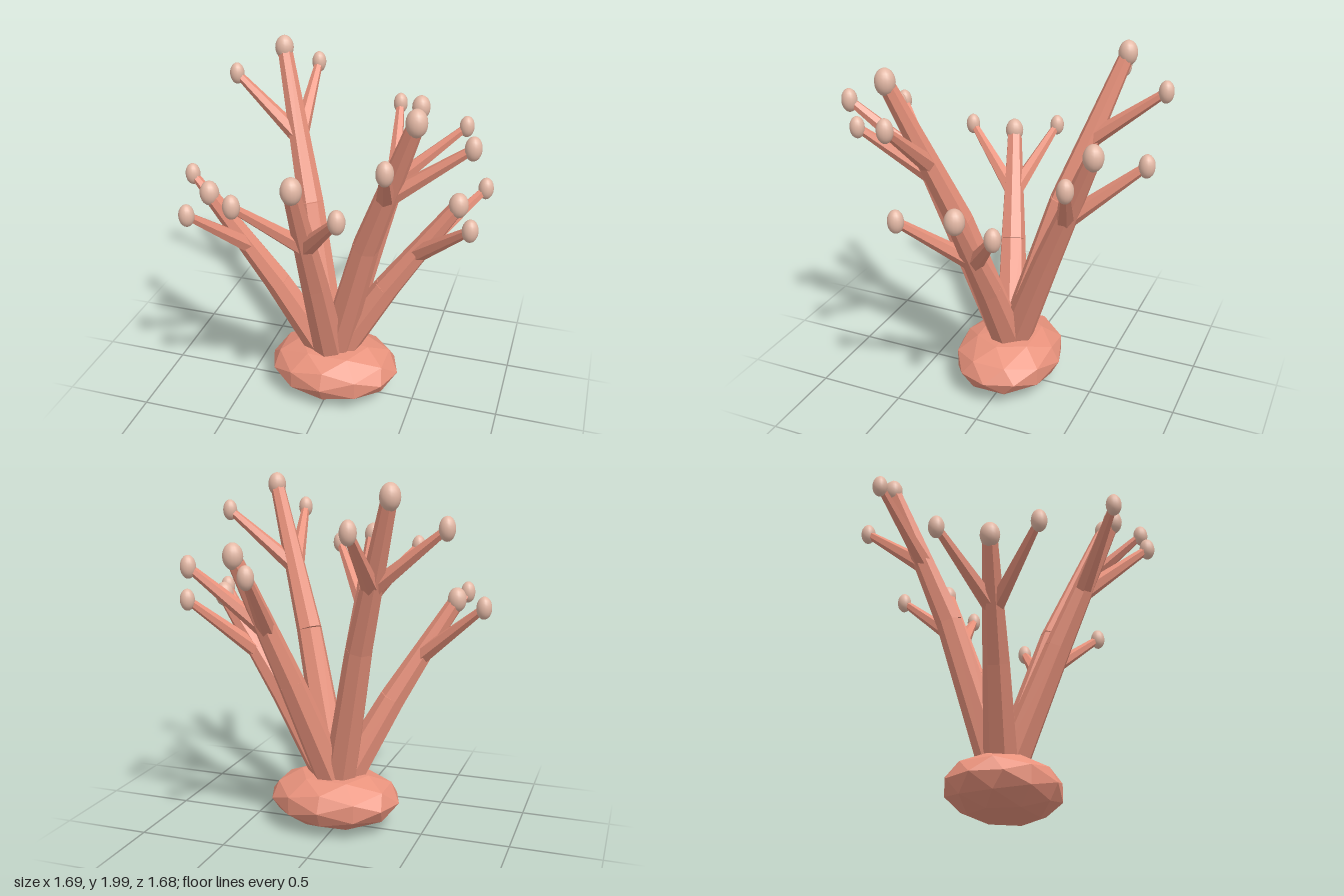
import * as THREE from 'three';

const skin = new THREE.MeshStandardMaterial({ color: 0xe8927c, flatShading: true });
const tipSkin = new THREE.MeshStandardMaterial({ color: 0xe3b8a5 });
const UP = new THREE.Vector3(0, 1, 0);
const v = (x, y, z) => new THREE.Vector3(x, y, z);

// Tapered limb from a to b
function limb(name, a, b, r0, r1, sides) {
  const dir = b.clone().sub(a);
  const mesh = new THREE.Mesh(new THREE.CylinderGeometry(r1, r0, dir.length(), sides), skin);
  mesh.position.copy(a).addScaledVector(dir, 0.5);
  mesh.quaternion.setFromUnitVectors(UP, dir.normalize());
  mesh.name = name;
  return mesh;
}

// Rounded, slightly tall tip
function tip(name, p, r, h) {
  const mesh = new THREE.Mesh(new THREE.SphereGeometry(r, 16, 12), tipSkin);
  mesh.scale.y = h / r;
  mesh.position.copy(p);
  mesh.name = name;
  return mesh;
}

// Stem that bends once, then forks into two side twigs
function branch({ top, bendY, bend, twigs }) {
  const g = new THREE.Group();
  g.name = 'branch';
  const end = v(...top);
  const joint = v(end.x * bend, bendY, end.z * bend);
  const fork = joint.clone().lerp(end, 0.42);
  g.add(
    limb('lowerStem', v(0, 0.2, 0), joint, 0.1, 0.075, 7),
    limb('upperStem', joint, end, 0.075, 0.042, 7),
    tip('stemTip', end, 0.053, 0.07)
  );
  for (const t of twigs) {
    const p = v(...t);
    g.add(limb('twig', fork, p, 0.05, 0.023, 6), tip('twigTip', p, 0.042, 0.062));
  }
  return g;
}

const TALL = { bendY: 1.11, bend: 0.46 };
const MEDIUM = { bendY: 0.92, bend: 0.49 };
const SHORT = { bendY: 0.76, bend: 0.47 };

const BRANCHES = [
  { ...TALL, top: [0.54, 1.93, 0.435], twigs: [[0.79, 1.78, 0.3], [0.46, 1.78, 0.7]] },
  { ...TALL, top: [-0.435, 1.93, -0.495], twigs: [[-0.31, 1.78, -0.75], [-0.695, 1.78, -0.405]] },
  { ...MEDIUM, top: [0.01, 1.625, 0.685], twigs: [[0.265, 1.555, 0.795], [-0.25, 1.555, 0.79]] },
  { ...MEDIUM, top: [0.355, 1.625, -0.58], twigs: [[0.185, 1.555, -0.8], [0.63, 1.555, -0.54]] },
  { ...SHORT, top: [0.695, 1.325, 0.0], twigs: [[0.8, 1.325, -0.25], [0.8, 1.325, 0.265]] },
  { ...SHORT, top: [-0.615, 1.325, 0.245], twigs: [[-0.62, 1.325, 0.525], [-0.805, 1.325, 0.04]] },
];

export function createModel() {
  const model = new THREE.Group();
  model.name = 'coral';

  // Faceted, flattened rock at the foot, levelled off on top
  const rock = new THREE.IcosahedronGeometry(1, 1);
  rock.scale(0.385, 0.17, 0.31);
  rock.translate(0.018, 0.178, 0);
  const pos = rock.attributes.position;
  for (let i = 0; i < pos.count; i++) pos.setY(i, Math.min(pos.getY(i), 0.335));
  rock.computeVertexNormals();
  const base = new THREE.Mesh(rock, skin);
  base.name = 'base';
  model.add(base);

  for (const b of BRANCHES) model.add(branch(b));
  return model;
}
